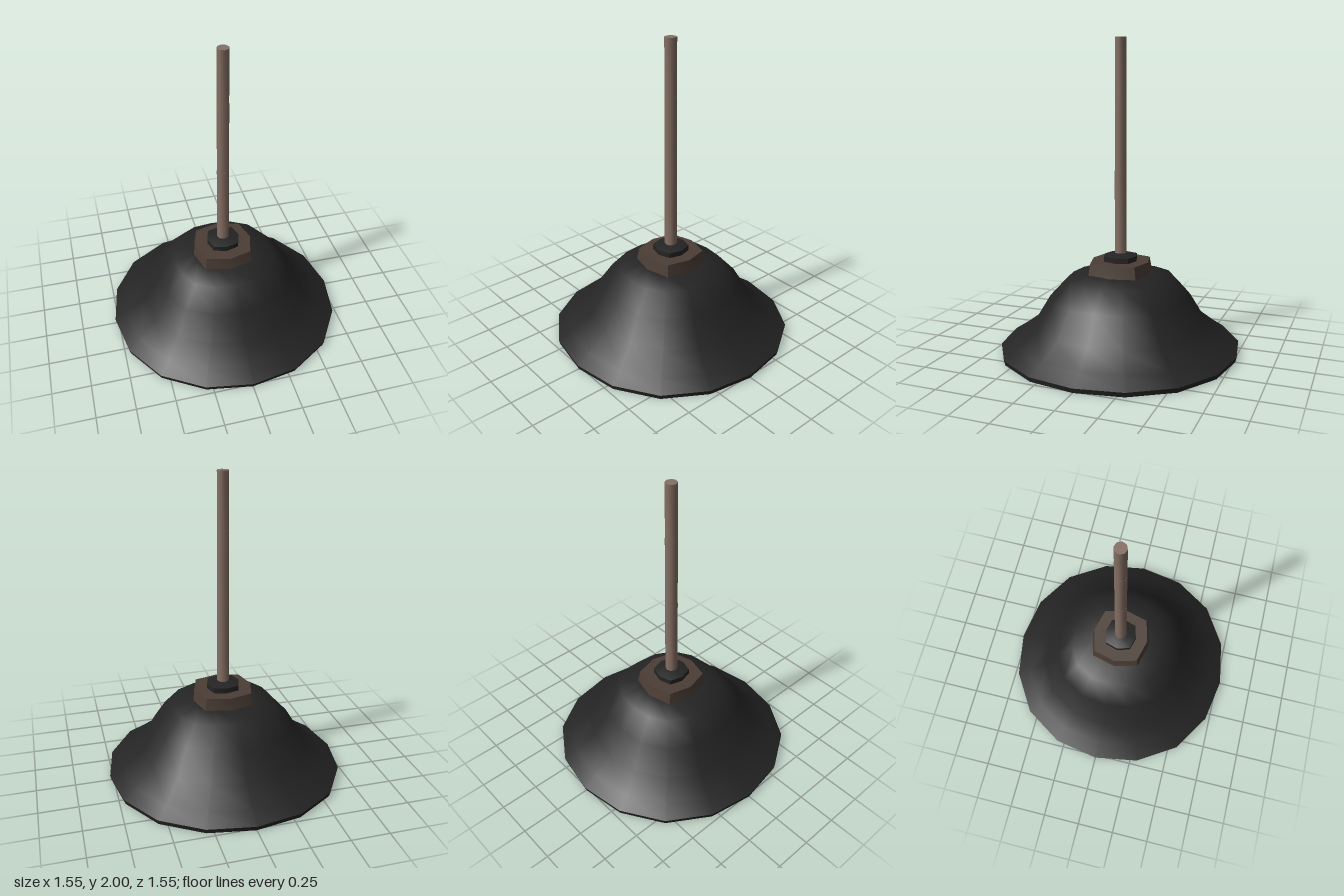
import * as THREE from 'three';
import { toCreasedNormals } from 'three/addons/utils/BufferGeometryUtils.js';

const material = (name, color) => {
  const m = new THREE.MeshStandardMaterial({ color });
  m.name = name;
  return m;
};

// Turned part; squareness(r) pushes the diagonals out so rings become rounded squares
function turned(name, profile, sides, mat, squareness = () => 0, crease = 0.9) {
  const geo = new THREE.LatheGeometry(profile.map(([r, y]) => new THREE.Vector2(r, y)), sides);
  const p = geo.attributes.position;
  for (let i = 0; i < p.count; i++) {
    const x = p.getX(i), z = p.getZ(i);
    const s = 1 + squareness(Math.hypot(x, z)) * Math.sin(2 * Math.atan2(z, x)) ** 2;
    p.setX(i, x * s);
    p.setZ(i, z * s);
  }
  const mesh = new THREE.Mesh(toCreasedNormals(geo, crease), mat);
  mesh.name = name;
  return mesh;
}

export function createModel() {
  const black = material('black enamel', 0x242424);
  const darkBrown = material('dark brown metal', 0x4c3e36);
  const brown = material('brown rod', 0x867064);
  const glass = material('pale yellow glass', 0xdcdc9c);
  const lamp = new THREE.Group();
  lamp.name = 'pendantLamp';

  // Flared shade: outside upwards, then inside back down to the lip
  lamp.add(turned('shade', [
    [0.765, 0], [0.773, 0.03], [0.68, 0.09], [0.545, 0.19], [0.445, 0.355],
    [0.33, 0.48], [0.2, 0.51], [0, 0.515],
    [0, 0.48], [0.2, 0.475], [0.31, 0.45], [0.415, 0.335],
    [0.515, 0.17], [0.66, 0.065], [0.745, 0.01], [0.765, 0],
  ], 16, black, r => 0.02 + 0.1 * Math.max(0, 0.77 - r)));

  // Collar and cap on top of the shade
  lamp.add(turned('collar', [[0, 0.49], [0.203, 0.5], [0.188, 0.588], [0, 0.588]], 8, darkBrown, () => 0.12));
  lamp.add(turned('cap', [[0.107, 0.58], [0.107, 0.622], [0.045, 0.638], [0, 0.638]], 8, black, () => 0.1));

  // Hanging rod in slightly stepped lengths
  lamp.add(turned('rod', [
    [0.04, 0.62], [0.04, 1.17], [0.039, 1.17], [0.039, 1.64], [0.038, 1.64], [0.038, 2], [0, 2],
  ], 8, brown));

  // Socket and bulb under the shade
  lamp.add(turned('socket', [[0, 0.34], [0.1, 0.34], [0.11, 0.36], [0.11, 0.49]], 12, black));
  lamp.add(turned('bulb', [
    [0, 0.01], [0.05, 0.018], [0.1, 0.05], [0.135, 0.1], [0.145, 0.15],
    [0.138, 0.21], [0.115, 0.28], [0.09, 0.35],
  ], 16, glass));
  return lamp;
}
